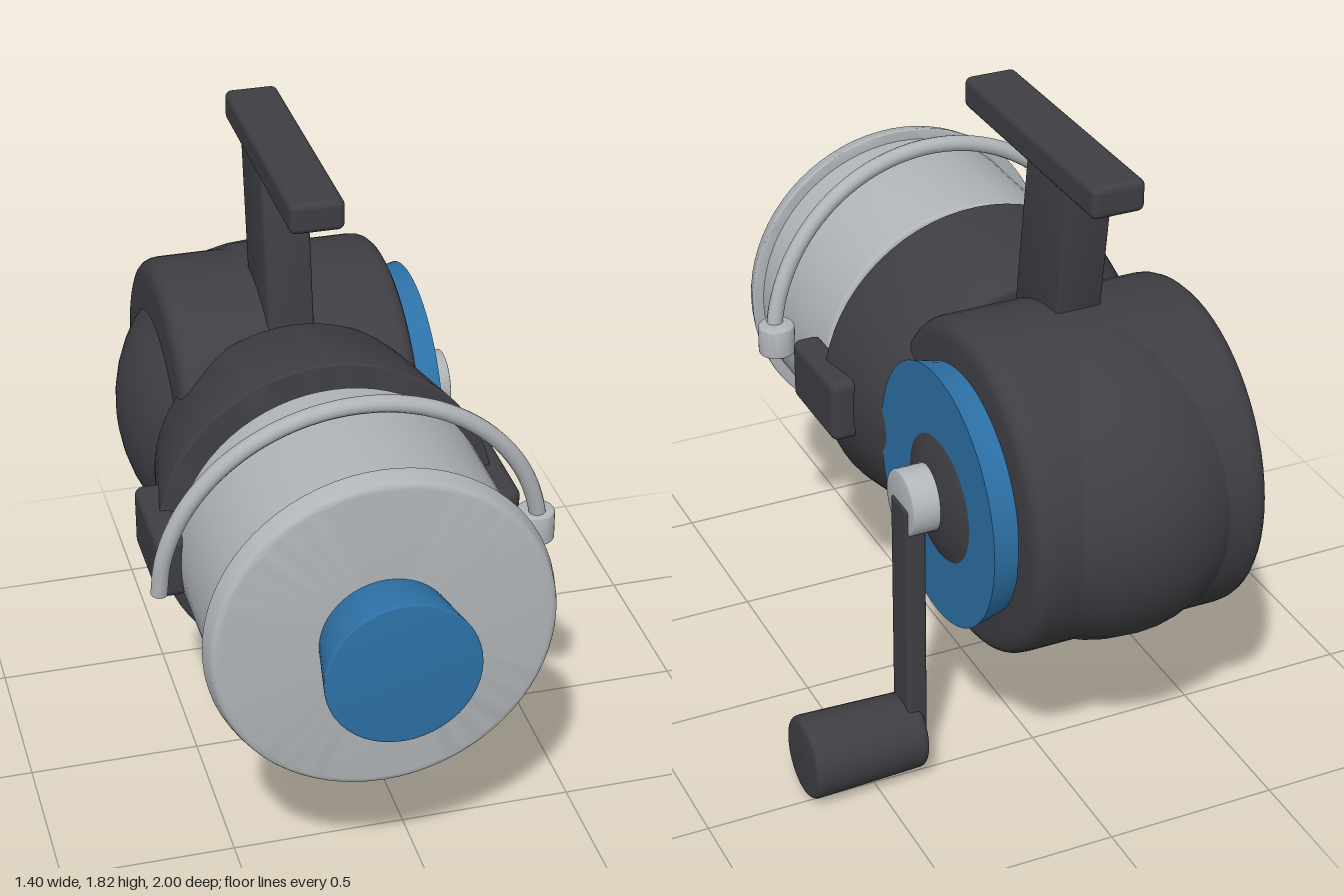
import * as THREE from 'three';
import { toCreasedNormals } from 'three/addons/utils/BufferGeometryUtils.js';
import { RoundedBoxGeometry } from 'three/addons/geometries/RoundedBoxGeometry.js';

const CX = -0.143, CY = 0.89, CRANK_Z = -0.46;

// Solid of revolution; each profile corner is [radius, height, bevel]
function turned(corners, segments = 64) {
  const v = corners.map(([r, h]) => new THREE.Vector2(r, h));
  const points = [];
  corners.forEach(([, , bevel = 0], i) => {
    if (!bevel) return points.push(v[i]);
    const a = v[i - 1].clone().sub(v[i]).setLength(bevel).add(v[i]);
    const b = v[i + 1].clone().sub(v[i]).setLength(bevel).add(v[i]);
    points.push(...new THREE.QuadraticBezierCurve(a, v[i], b).getPoints(5));
  });
  return toCreasedNormals(new THREE.LatheGeometry(points, segments), 0.6);
}
const alongZ = (corners, segments) => turned(corners, segments).rotateX(Math.PI / 2);
const alongX = (corners, segments) => turned(corners, segments).rotateZ(-Math.PI / 2);

export function createModel() {
  const group = new THREE.Group();
  const material = (name, color) => {
    const m = new THREE.MeshStandardMaterial({ color });
    m.name = name;
    return m;
  };
  const dark = material('charcoal', 0x3f3e43);
  const blue = material('blue', 0x2d71a6);
  const silver = material('silver', 0xb0b5b8);

  function add(name, geometry, mat, x = 0, y = 0, z = 0) {
    const mesh = new THREE.Mesh(geometry, mat);
    mesh.name = name;
    mesh.position.set(x, y, z);
    group.add(mesh);
    return mesh;
  }

  // Gear housing: a drum lying across the reel with a bulging core
  add('gearHousing', alongX([
    [0, -0.348], [0.475, -0.348, 0.06], [0.475, 0.348, 0.06], [0, 0.348],
  ]), dark, CX, CY, CRANK_Z);
  const core = new THREE.SphereGeometry(1, 32, 24).rotateZ(-Math.PI / 2).scale(0.462, 0.475, 0.52);
  add('housingCore', core, dark, CX, CY, -0.48);

  // Side plate, hub and crank
  add('sidePlate', alongX([
    [0, 0.15], [0.355, 0.15], [0.355, 0.2], [0.375, 0.285], [0, 0.285],
  ]), blue, 0, CY, CRANK_Z);
  add('crankHub', alongX([
    [0, 0.2], [0.095, 0.2], [0.095, 0.392, 0.008], [0, 0.392],
  ], 32), silver, 0, CY, CRANK_Z);
  add('crankArm', new RoundedBoxGeometry(0.06, 0.785, 0.11, 3, 0.012), dark, 0.368, 0.5, CRANK_Z);
  add('crankKnob', alongX([
    [0, 0.353], [0.111, 0.353, 0.022], [0.121, 0.7, 0.022], [0, 0.7],
  ], 40), dark, 0, 0.127, CRANK_Z);

  // Rotor cone with an arm on each side
  add('rotor', alongZ([
    [0, -0.175], [0.418, -0.175, 0.015], [0.488, 0.205, 0.01], [0, 0.205],
  ]), dark, CX, CY, 0);
  for (const [name, side] of [['leftRotorArm', 1], ['rightRotorArm', -1]]) {
    add(name, new RoundedBoxGeometry(0.088, 0.19, 0.312, 4, 0.025), dark, CX + side * 0.478, CY, 0.203);
  }

  // Spool with a flared front lip, and the drag knob
  add('spool', alongZ([
    [0, 0.27], [0.453, 0.27, 0.014], [0.453, 0.765], [0.488, 0.765, 0.008],
    [0.472, 0.827, 0.018], [0, 0.827],
  ], 72), silver, CX, CY, 0);
  add('dragKnob', alongZ([
    [0, 0.8], [0.18, 0.8], [0.216, 1, 0.008], [0, 1],
  ], 48), blue, CX, CY, 0);

  // Wire bail leaning forward over the spool, and its roller
  const arc = [];
  for (let i = 0; i <= 16; i++) {
    const t = Math.PI * (1 - i / 16);
    arc.push(new THREE.Vector3(0.537 * Math.cos(t), 0.54 * Math.sin(t), 0.062 * Math.sin(t)));
  }
  const wire = new THREE.TubeGeometry(new THREE.CatmullRomCurve3(arc), 64, 0.024, 12);
  add('bailWire', wire, silver, CX, CY, 0.463);
  const cap = new THREE.CircleGeometry(0.024, 12).rotateX(Math.PI / 2);
  add('bailEnd', cap, silver, CX - 0.537, CY, 0.463);
  add('lineRoller', turned([
    [0, -0.046], [0.054, -0.046, 0.006], [0.054, 0.046, 0.012], [0, 0.046],
  ], 32), silver, 0.386, 0.94, 0.46);

  // Leaning stem and mounting foot
  const stem = new RoundedBoxGeometry(0.135, 0.56, 0.252, 3, 0.012);
  stem.applyMatrix4(new THREE.Matrix4().makeShear(0, 0, 0, -0.136, 0, 0));
  const p = stem.attributes.position;
  const slope = (p.getZ(0) !== undefined) ? -0.136 : 0;
  stem.dispose();
  const stemGeometry = new RoundedBoxGeometry(0.135, 0.56, 0.252, 3, 0.012);
  const q = stemGeometry.attributes.position;
  for (let i = 0; i < q.count; i++) q.setZ(i, q.getZ(i) + slope * q.getY(i));
  stemGeometry.computeVertexNormals();
  add('footStem', toCreasedNormals(stemGeometry, 0.6), dark, CX, 1.48, -0.346);
  add('mountingFoot', new RoundedBoxGeometry(0.155, 0.092, 0.795, 4, 0.02), dark, CX, 1.784, -0.272);

  return group;
}
